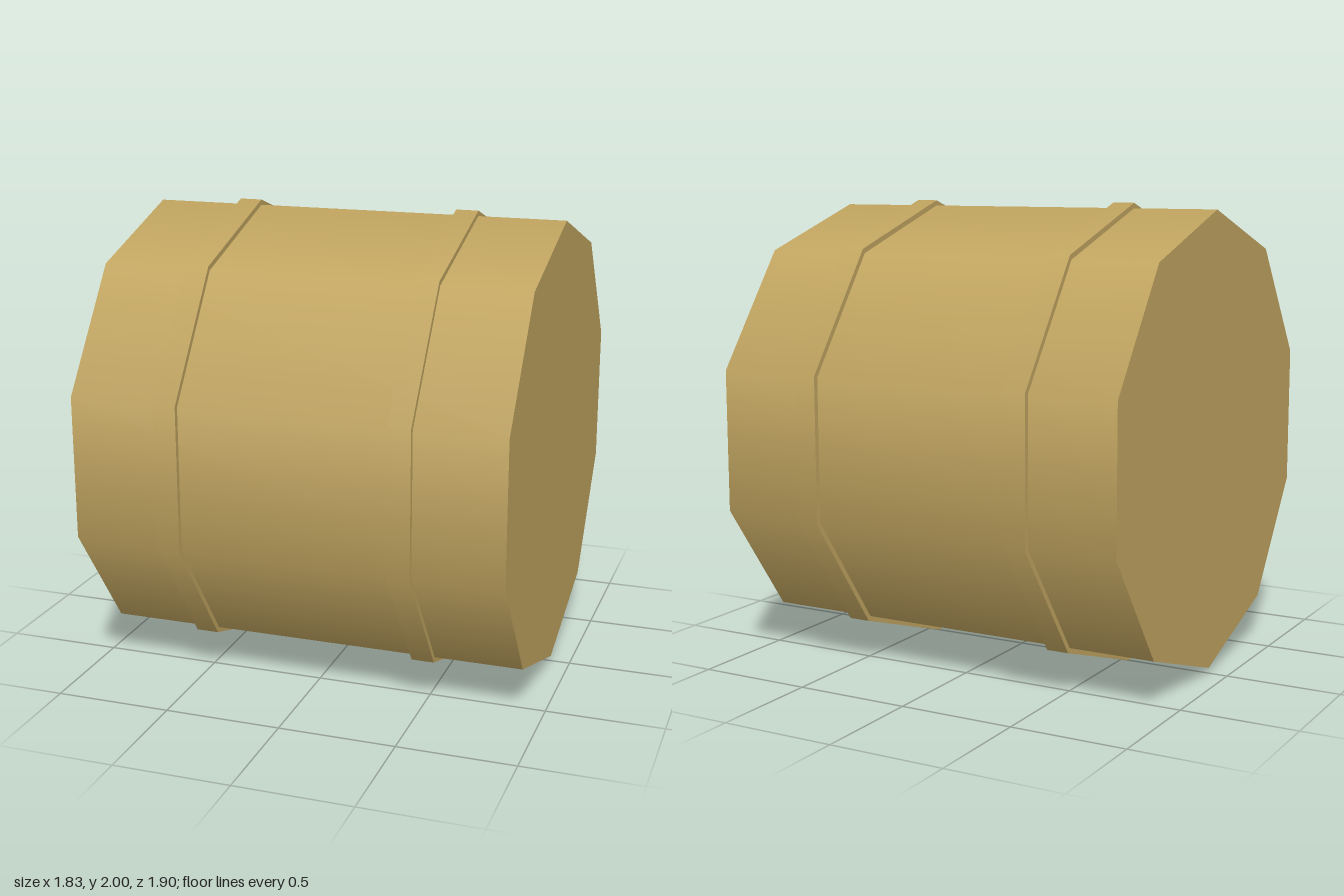
import * as THREE from 'three';

const SIDES = 10;

// Ten-sided drum lying along x, with a corner pointing straight up
function drum(name, radius, length, x, material) {
  const geometry = new THREE.CylinderGeometry(radius, radius, length, SIDES, 1, false, Math.PI / 2);
  geometry.rotateZ(Math.PI / 2);
  const mesh = new THREE.Mesh(geometry, material);
  mesh.name = name;
  mesh.position.set(x, 1, 0);
  return mesh;
}

export function createModel() {
  const group = new THREE.Group();
  group.name = 'barrel';

  const tan = new THREE.MeshStandardMaterial({ color: 0xbfa35f });
  tan.name = 'tan';

  // Barrel body with flat ends
  group.add(drum('body', 0.977, 1.83, 0, tan));

  // Two raised hoops
  for (const [name, side] of [['leftHoop', 1], ['rightHoop', -1]]) {
    group.add(drum(name, 1, 0.097, side * 0.49, tan));
  }

  return group;
}
